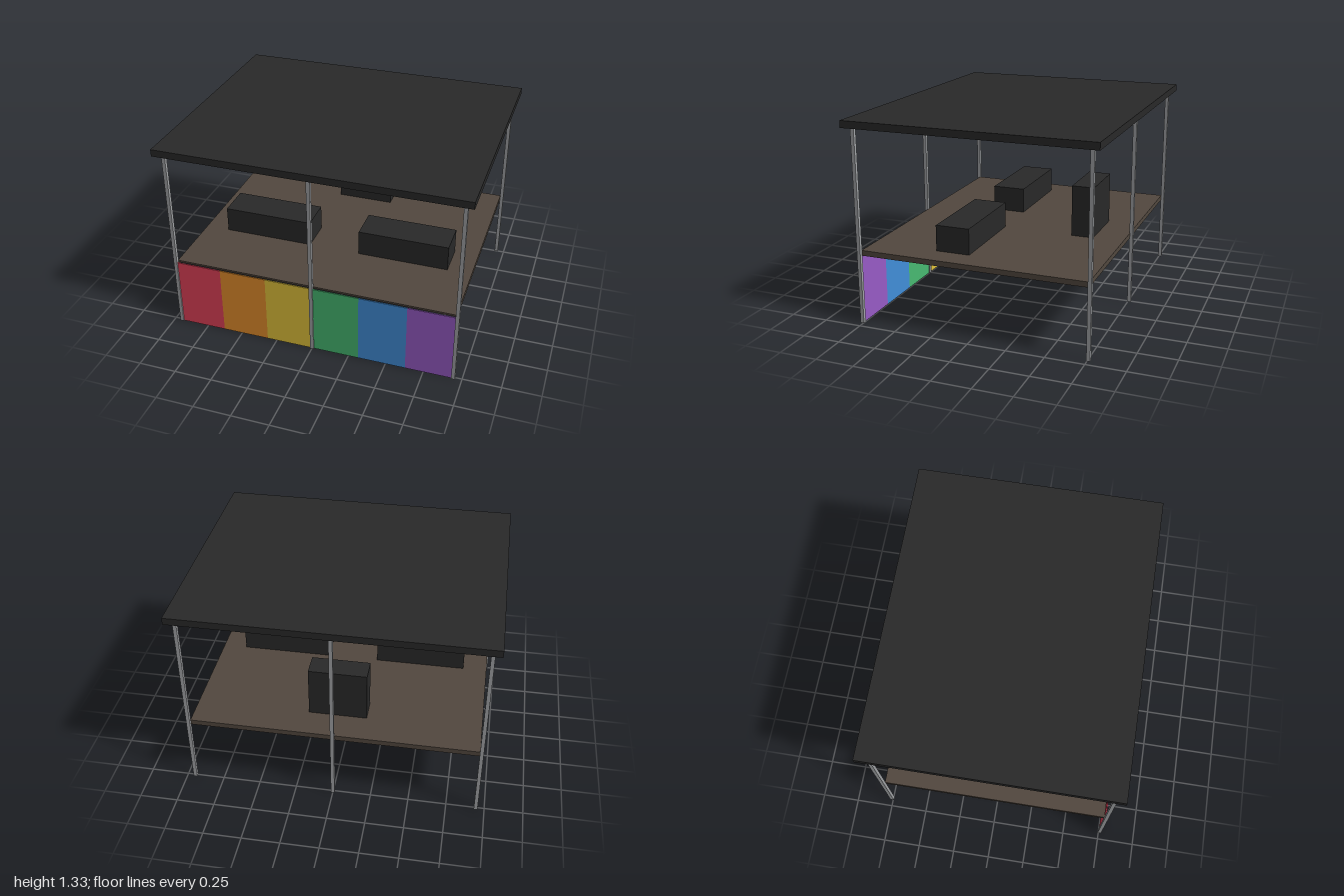
import * as THREE from 'three';

const mat = (name, color) => {
  const m = new THREE.MeshStandardMaterial({ color });
  m.name = name;
  return m;
};

export function createModel() {
  const group = new THREE.Group();
  const black = mat('charcoal', 0x292929);
  const wood = mat('dark wood', 0x52483f);
  const steel = mat('grey metal', 0xa2a4a7);

  // Box given by its extents along each axis
  const box = (name, material, [x0, x1], [y0, y1], [z0, z1]) => {
    const mesh = new THREE.Mesh(new THREE.BoxGeometry(x1 - x0, y1 - y0, z1 - z0), material);
    mesh.position.set((x0 + x1) / 2, (y0 + y1) / 2, (z0 + z1) / 2);
    mesh.name = name;
    group.add(mesh);
  };

  // Thin sheet with a rim hanging from its sides and back
  const t = 0.006;
  const tray = (name, material, x, z, bottom, under, top) => {
    box(name, material, [-x, x], [under, top], [-z, z]);
    box(name + 'RightRim', material, [-x, -x + t], [bottom, under], [-z, z]);
    box(name + 'LeftRim', material, [x - t, x], [bottom, under], [-z, z]);
    box(name + 'BackRim', material, [-x + t, x - t], [bottom, under], [-z, -z + t]);
  };

  // Roof with a rim all round, and raised deck whose front is closed by the skirt
  tray('roof', black, 1, 0.812, 1.285, 1.319, 1.331);
  box('roofFrontRim', black, [-1 + t, 1 - t], [1.285, 1.319], [0.812 - t, 0.812]);
  tray('deck', wood, 0.935, 0.748, 0.455, 0.477, 0.49);

  // Six posts: corners and the middle of the front and back
  const r = 0.012;
  for (const x of [-0.945, 0, 0.945]) {
    for (const z of [-0.757, 0.757]) {
      box('post', steel, [x - r, x + r], [0, 1.319], [z - r, z + r]);
    }
  }

  // Striped front skirt, its ends tucked into the corner posts
  const stripes = [
    ['red', 0xe4425a], ['orange', 0xe68f2c], ['yellow', 0xe4c53c],
    ['green', 0x48ba72], ['blue', 0x428fda], ['purple', 0x985cc6],
  ];
  const w = 0.315;
  stripes.forEach(([name, color], i) => {
    const x = (i - 3) * w;
    box(name + 'Panel', mat(name, color), [x, x + w], [0, 0.477], [0.753, 0.761]);
  });

  // Two low counters and a taller cabinet behind
  for (const s of [-1, 1]) {
    box('counter', black, [s * 0.473 - 0.302, s * 0.473 + 0.302], [0.49, 0.66], [0.078, 0.303]);
  }
  box('cabinet', black, [-0.19, 0.19], [0.49, 0.83], [-0.547, -0.398]);

  return group;
}
